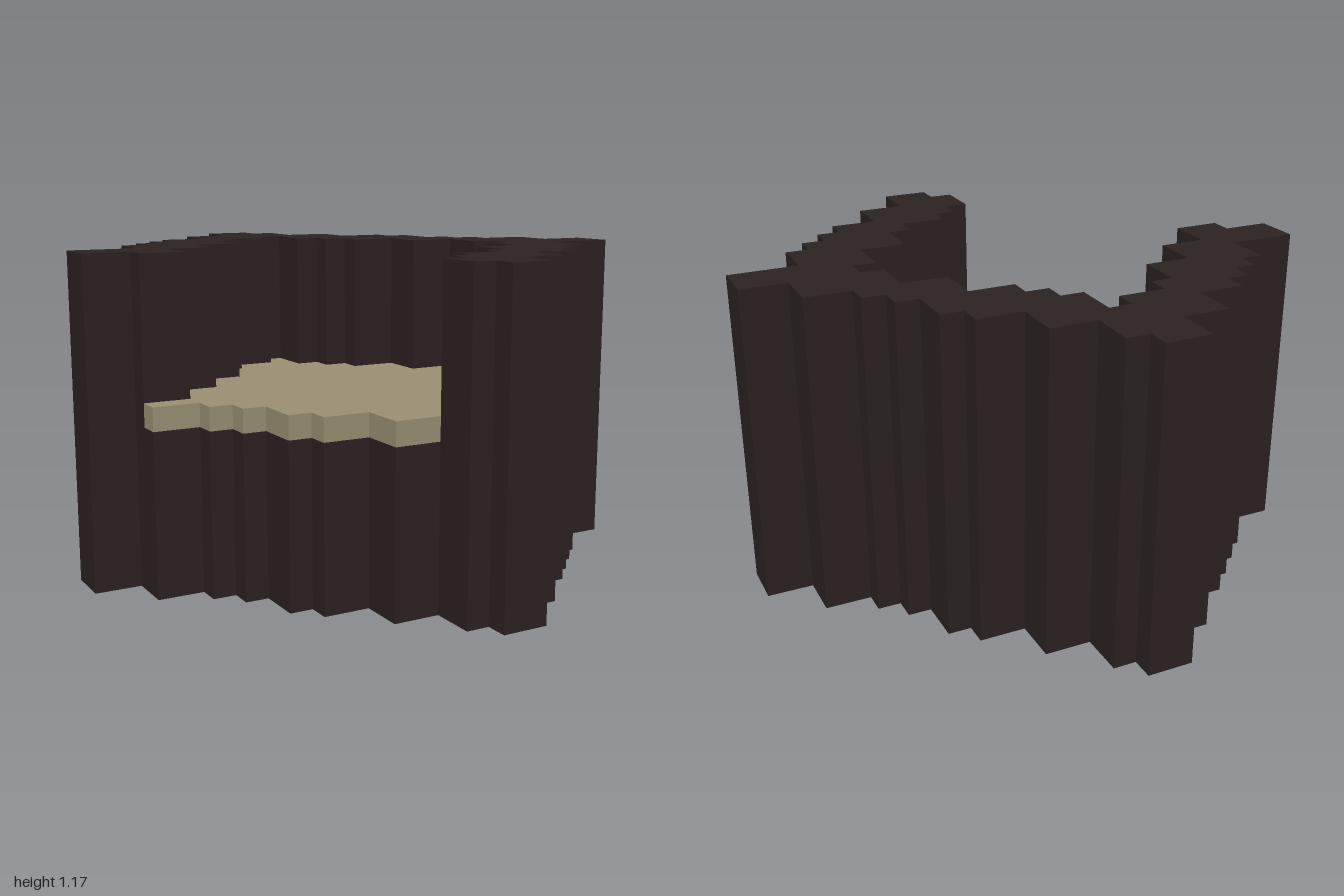
import * as THREE from 'three';

const CELL = 1 / 12;

// Edge columns for each one-cell row, from the back row (0) to the front row (22)
const outerRight = [12, 13, 13, 15, 15, 17, 18, 18, 19, 20, 22, 22, 24, 24, 21, 21, 20, 19, 18, 16, 16, 14, 14];
const outerLeft = [10, 10, 8, 8, 6, 5, 4, 3, 3, 0, 0, 2];    // rows 0-11
const frontLeft = [11, 11, 12];                              // rows 20-22
const SEAT_ROW = 4;                                          // seat covers rows 4-19
const seatRight = [12, 12, 13, 14, 16, 16, 18, 18, 19, 18, 18, 16, 16, 15, 13, 12];
const seatLeft = [11, 9, 8, 8, 6, 6, 4, 4, 2, 4, 5, 6, 6, 7, 9, 9];

// Stepped edge walking down the rows
const edge = (cols, firstRow) => cols.flatMap((c, i) => [[c, firstRow + i], [c, firstRow + i + 1]]);
const up = (cols, firstRow) => edge(cols, firstRow).reverse();

// Upright block with a stepped footprint, between two cell heights
function block(name, path, bottom, top, material) {
  const points = path
    .filter(([c, r], i) => {
      const [pc, pr] = path[(i + path.length - 1) % path.length];
      return c !== pc || r !== pr;
    })
    .map(([c, r]) => new THREE.Vector2((c - 12) * CELL, (11.5 - r) * CELL));
  const geometry = new THREE.ExtrudeGeometry(new THREE.Shape(points), {
    depth: (top - bottom) * CELL, bevelEnabled: false,
  });
  geometry.rotateX(-Math.PI / 2);
  geometry.translate(0, bottom * CELL, 0);
  const mesh = new THREE.Mesh(geometry, material);
  mesh.name = name;
  return mesh;
}

export function createModel() {
  const dark = new THREE.MeshStandardMaterial({ color: 0x2c2222 });
  dark.name = 'dark brown';
  const tan = new THREE.MeshStandardMaterial({ color: 0x9a9175 });
  tan.name = 'tan';

  // Tall wall wrapping round the back and sides, open at the front corner
  const wallPath = [
    ...edge(outerRight, 0),
    ...up(frontLeft, 20),
    ...up(seatRight, SEAT_ROW),
    ...edge(seatLeft.slice(0, 8), SEAT_ROW),
    ...up(outerLeft, 0),
  ];
  // Footprint shared by the base and the slab on it
  const seatPath = [...edge(seatRight, SEAT_ROW), ...up(seatLeft, SEAT_ROW)];

  const model = new THREE.Group();
  model.name = 'steppedSeat';
  model.add(
    block('wall', wallPath, 0, 14, dark),
    block('base', seatPath, 0, 7, dark),
    block('seat', seatPath, 7, 8, tan),
  );
  return model;
}
